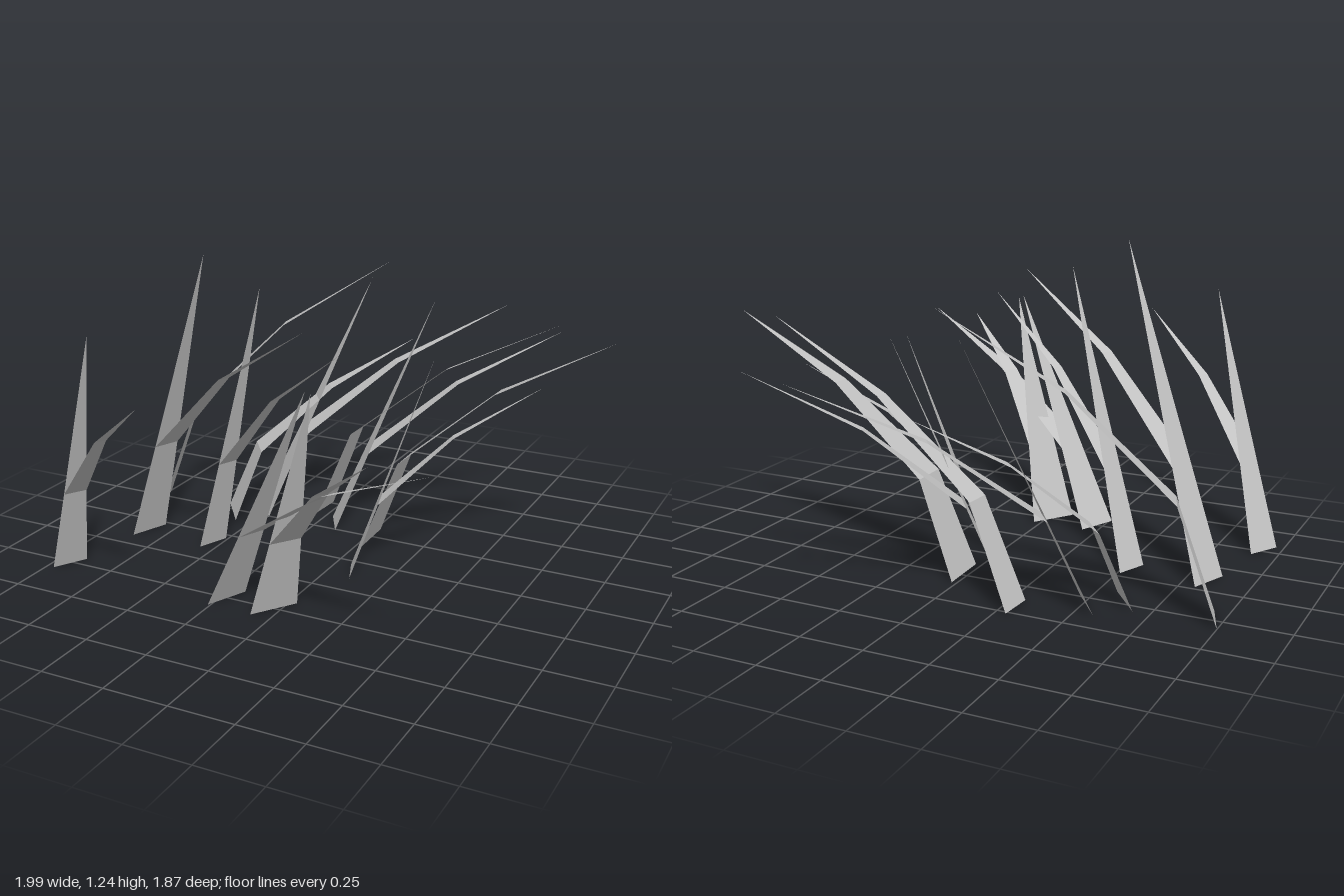
import * as THREE from 'three';

// One flat blade: a strip of quads through cross-sections [left, right], ending in a point
function bladeGeometry(sections, tip) {
  const v = [];
  const tri = (...pts) => pts.forEach((p) => v.push(p.x, p.y, p.z));
  for (let i = 0; i < sections.length; i++) {
    const [l, r] = sections[i];
    if (i === sections.length - 1) {
      tri(l, r, tip);
    } else {
      const [l2, r2] = sections[i + 1];
      tri(l, r, r2);
      tri(l, r2, l2);
    }
  }
  const g = new THREE.BufferGeometry();
  g.setAttribute('position', new THREE.Float32BufferAttribute(v, 3));
  g.computeVertexNormals();
  return g;
}

// Base edge ends (x, z), tip of the bent blade (x, y, z), and whether a straight blade grows with it
const PLANTS = [
  // front rows
  { a: [-0.97, 0.57], b: [-0.9, 0.45], tip: [-0.29, 0.86, 0.93], straight: true },
  { a: [-0.87, 0.17], b: [-0.81, 0.02], tip: [0.11, 1.065, 0.5], straight: true },
  { a: [-0.56, 0.15], b: [-0.51, 0.03], tip: [0.2, 0.97, 0.42], straight: true },
  { a: [-0.26, 0.58], b: [-0.19, 0.425], tip: [0.75, 0.79, 0.9], straight: true },
  { a: [-0.08, 0.58], b: [0.03, 0.425], tip: [0.53, 0.78, 0.88], straight: true },
  { a: [0.11, 0.15], b: [0.06, -0.03 + 0.0], tip: [0.73, 0.75, 0.22 * -1], straight: true },
  // back rows
  { a: [-0.46, -0.24], b: [-0.57, -0.39], tip: [0.33, 0.86, -0.94], straight: true },
  { a: [-0.145, -0.24], b: [-0.22, -0.37], tip: [0.64, 0.83, -0.745], straight: true },
  { a: [-0.945, -0.17], b: [-1, -0.32], tip: [-0.045, 1.09, -0.585], straight: false },
  { a: [-0.57, -0.15], b: [-0.685, -0.3], tip: [0, 0.73, -0.71], straight: false },
  { a: [-0.3, -0.37], b: [-0.29, -0.515], tip: [0.75, 0.96, -0.37], straight: false },
  { a: [0.025, -0.125], b: [0.02, -0.335], tip: [0.99, 0.945, -0.25], straight: false },
];
// the plant at the right edge leans towards the back
PLANTS[5].b = [0.06, 0.03];

export function createModel() {
  const group = new THREE.Group();
  group.name = 'grassPatch';
  const grey = new THREE.MeshStandardMaterial({ color: 0xc4c4c4, side: THREE.DoubleSide });
  grey.name = 'plain grey';

  PLANTS.forEach(({ a, b, tip, straight }, i) => {
    const plant = new THREE.Group();
    plant.name = `grassTuft${i + 1}`;
    const left = new THREE.Vector3(a[0], 0, a[1]);
    const right = new THREE.Vector3(b[0], 0, b[1]);
    const mid = left.clone().add(right).multiplyScalar(0.5);
    const half = right.clone().sub(mid);
    const lean = new THREE.Vector3(...tip).sub(mid);

    // point on the blade at a share of the tip's reach and height
    const at = (reach, height) =>
      new THREE.Vector3(mid.x + lean.x * reach, lean.y * height, mid.z + lean.z * reach);
    const section = (reach, height, width) => {
      const c = at(reach, height);
      return [c.clone().addScaledVector(half, -width), c.clone().addScaledVector(half, width)];
    };
    const add = (name, sections, end) => {
      const mesh = new THREE.Mesh(bladeGeometry(sections, end), grey);
      mesh.name = name;
      plant.add(mesh);
    };

    const base = section(0, 0, 1);
    const w = straight ? 0.66 : 0.74;
    const bends = [section(0.15, 0.395, w), section(0.54, 0.74, w / 2)];
    if (straight) {
      // the bent blade leaves the straight one at a third of its height
      add('straightBlade', [base], at(0.44, 1.165));
      add('bentBlade', bends, at(1, 1));
    } else {
      add('bentBlade', [base, ...bends], at(1, 1));
    }
    group.add(plant);
  });
  return group;
}
